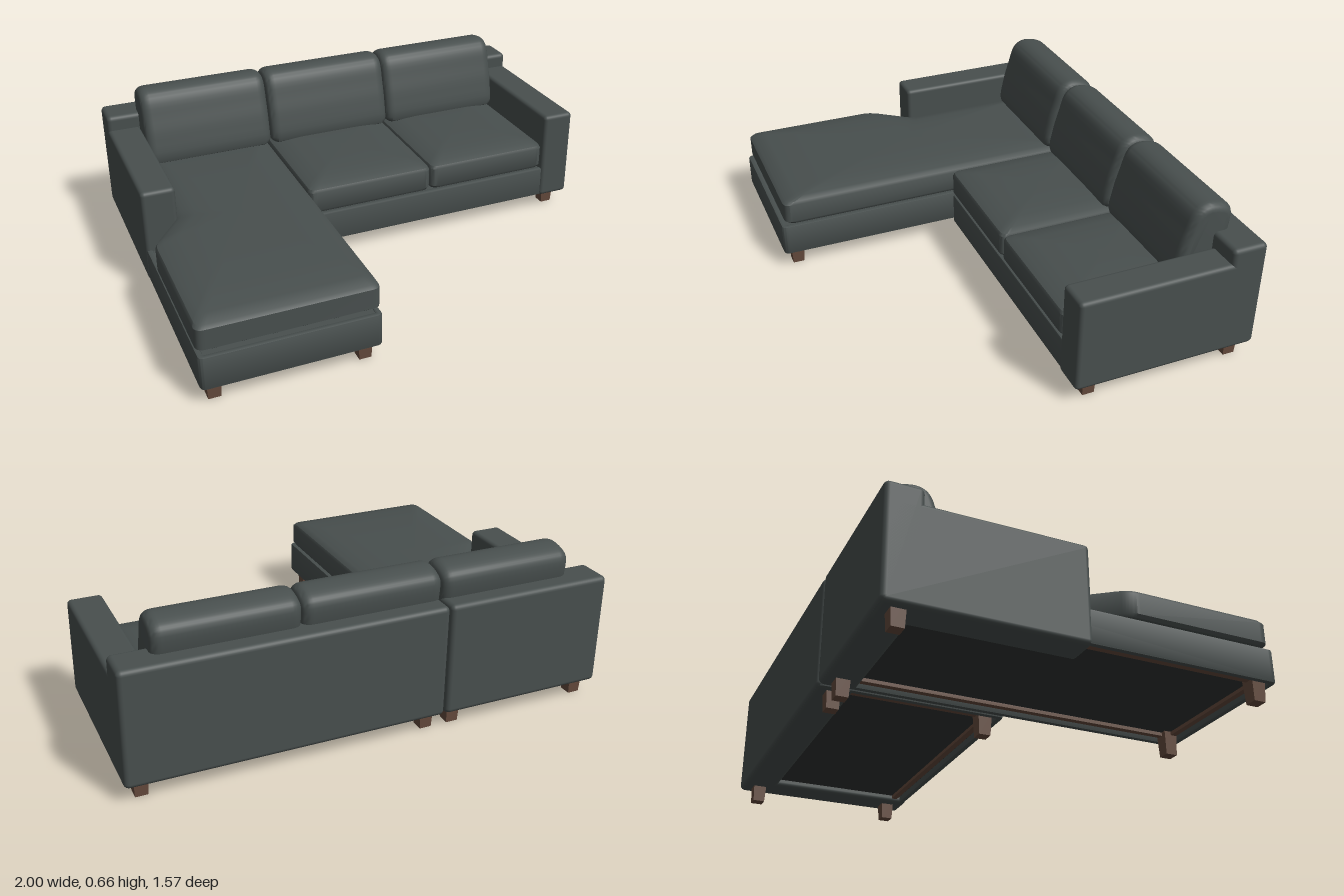
import * as THREE from 'three';
import { toCreasedNormals } from 'three/addons/utils/BufferGeometryUtils.js';
import { RoundedBoxGeometry } from 'three/addons/geometries/RoundedBoxGeometry.js';

export function createModel() {
  const sofa = new THREE.Group();
  sofa.name = 'cornerSofa';
  const fabric = new THREE.MeshStandardMaterial({ name: 'charcoal fabric', color: 0x484f4e });
  const lining = new THREE.MeshStandardMaterial({ name: 'dark lining', color: 0x303433 });
  const wood = new THREE.MeshStandardMaterial({ name: 'brown wood', color: 0x644a3c });

  const add = (name, geometry, material = fabric) => {
    const mesh = new THREE.Mesh(geometry, material);
    mesh.name = name;
    sofa.add(mesh);
    return mesh;
  };

  // Box given by its limits, with optional rounded edges
  const block = (name, x0, x1, y0, y1, z0, z1, radius = 0, material = fabric) => {
    const size = [x1 - x0, y1 - y0, z1 - z0];
    const geometry = radius ? new RoundedBoxGeometry(...size, 3, radius) : new THREE.BoxGeometry(...size);
    add(name, geometry, material).position.set((x0 + x1) / 2, (y0 + y1) / 2, (z0 + z1) / 2);
  };

  // Plan outline with rounded corners, from [x, z] corners
  const outline = (corners, r) => {
    const pts = corners.map(([x, z]) => new THREE.Vector2(x, -z));
    const shape = new THREE.Shape();
    pts.forEach((p, i) => {
      const prev = pts[(i + pts.length - 1) % pts.length];
      const next = pts[(i + 1) % pts.length];
      const a = p.clone().add(prev.clone().sub(p).setLength(r));
      const b = p.clone().add(next.clone().sub(p).setLength(r));
      if (i === 0) shape.moveTo(a.x, a.y);
      else shape.lineTo(a.x, a.y);
      shape.quadraticCurveTo(p.x, p.y, b.x, b.y);
    });
    shape.closePath();
    return shape;
  };
  const rect = (x0, x1, z0, z1) => [[x0, z1], [x1, z1], [x1, z0], [x0, z0]];

  // Puffed seat cushion: the outline lofted through [scale, height] rings
  const rings = [[0, 0.212], [0.9, 0.214], [0.975, 0.222], [1, 0.235], [1, 0.318],
    [0.98, 0.33], [0.9, 0.342], [0.7, 0.352], [0.4, 0.358], [0, 0.36]];
  const seatCushion = (name, corners, cx, cz) => {
    const pts = outline(corners, 0.035).getPoints(6);
    if (pts[0].distanceTo(pts[pts.length - 1]) < 1e-5) pts.pop();
    const n = pts.length, positions = [], index = [];
    rings.forEach(([s, y], i) => pts.forEach((p, j) => {
      positions.push(cx + (p.x - cx) * s, y, cz + (-p.y - cz) * s);
      if (i === rings.length - 1) return;
      const a = i * n + j, b = i * n + (j + 1) % n;
      if (i > 0) index.push(a, b, b + n);
      if (i < rings.length - 2) index.push(a, b + n, a + n);
      else index.push(a, b, a + n);
      if (i === 0) index.push(a, b + n, a + n);
    }));
    const geometry = new THREE.BufferGeometry();
    geometry.setAttribute('position', new THREE.Float32BufferAttribute(positions, 3));
    geometry.setIndex(index);
    add(name, toCreasedNormals(geometry, 0.6));
  };

  // Leaning back cushion: side profile extruded across with soft ends
  const profile = [[-0.49, 0.35], [-0.5, 0.46], [-0.525, 0.55], [-0.55, 0.625], [-0.575, 0.652], [-0.615, 0.664],
    [-0.685, 0.648], [-0.713, 0.622], [-0.712, 0.54], [-0.68, 0.43], [-0.65, 0.35], [-0.57, 0.335]];
  const backCushion = (name, x0, x1) => {
    const curve = new THREE.CatmullRomCurve3(profile.map(([z, y]) => new THREE.Vector3(-z, y, 0)), true);
    const shape = new THREE.Shape(curve.getPoints(48).slice(0, -1).map(p => new THREE.Vector2(p.x, p.y)));
    const bevel = 0.04;
    const geometry = new THREE.ExtrudeGeometry(shape, {
      depth: x1 - x0 - 2 * bevel, bevelThickness: bevel, bevelSize: 0.032, bevelOffset: -0.032, bevelSegments: 5,
    });
    geometry.rotateY(Math.PI / 2);
    geometry.translate(x0 + bevel, 0, 0);
    add(name, toCreasedNormals(geometry, 0.7));
  };

  // Base: upholstered ring, recessed lining and wooden rails underneath
  const base = (name, x0, x1, z0, z1) => {
    const shape = outline(rect(x0, x1, z0, z1), 0.025);
    const t = 0.025;
    shape.holes.push(outline(rect(x0 + t, x1 - t, z0 + t, z1 - t), 0.005));
    const geometry = new THREE.ExtrudeGeometry(shape, {
      depth: 0.124, bevelThickness: 0.008, bevelSize: 0.008, bevelOffset: -0.008, bevelSegments: 2,
    });
    geometry.rotateX(-Math.PI / 2);
    geometry.translate(0, 0.08, 0);
    add(name + 'Base', toCreasedNormals(geometry, 0.7));
    const [a, b, c, d] = [x0 + 0.02, x1 - 0.02, z0 + 0.02, z1 - 0.02];
    block(name + 'Deck', a, b, 0.15, 0.208, c, d);
    block(name + 'Lining', a, b, 0.1, 0.15, c, d, 0, lining);
    const w = 0.025, g = 0.02;
    for (const z of [c + g, d - g - w]) block(name + 'Rail', a + g, b - g, 0.085, 0.105, z, z + w, 0, wood);
    for (const x of [a + g, b - g - w]) block(name + 'SideRail', x, x + w, 0.085, 0.105, c + g + w, d - g - w, 0, wood);
  };
  base('chaise', -0.997, -0.292, -0.78, 0.785);
  base('seat', -0.285, 0.99, -0.78, -0.008);

  // Backs and arms
  block('chaiseBack', -1, -0.292, 0.07, 0.54, -0.785, -0.635, 0.02);
  block('seatBack', -0.285, 1, 0.07, 0.54, -0.785, -0.635, 0.02);
  block('rightArm', -1, -0.858, 0.068, 0.475, -0.78, 0, 0.018);
  block('leftArm', 0.858, 1, 0.07, 0.475, -0.78, 0, 0.018);

  // Seat cushions; the chaise one steps around the arm
  seatCushion('chaiseCushion', [[-0.997, 0.768], [-0.293, 0.768], [-0.293, -0.65], [-0.858, -0.65],
    [-0.858, -0.02], [-0.997, 0.165]], -0.62, 0.08);
  seatCushion('middleSeatCushion', rect(-0.287, 0.287, -0.65, -0.005), 0, -0.33);
  seatCushion('leftSeatCushion', rect(0.289, 0.857, -0.65, -0.005), 0.573, -0.33);

  // Back cushions
  backCushion('rightBackCushion', -0.86, -0.292);
  backCushion('middleBackCushion', -0.287, 0.287);
  backCushion('leftBackCushion', 0.289, 0.857);

  // Tapered square legs
  const leg = new THREE.CylinderGeometry(0.042, 0.035, 0.1, 4, 1).toNonIndexed();
  leg.rotateY(Math.PI / 4);
  leg.computeVertexNormals();
  for (const [x, z] of [[-0.94, 0.72], [-0.35, 0.72], [-0.94, -0.71], [-0.35, -0.71],
    [-0.23, -0.08], [0.93, -0.08], [-0.23, -0.71], [0.93, -0.71]]) {
    add('leg', leg, wood).position.set(x, 0.05, z);
  }
  return sofa;
}
